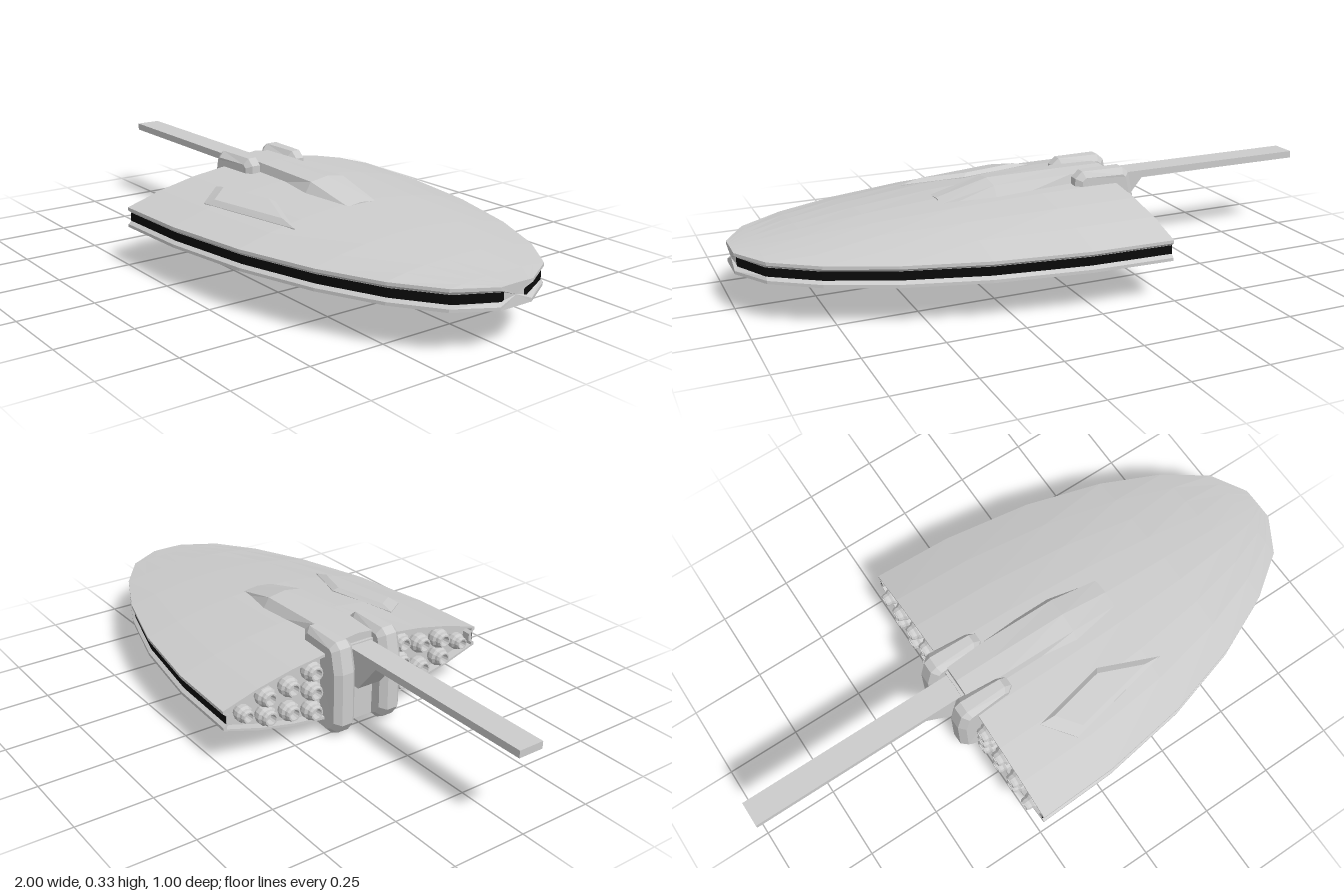
import * as THREE from 'three';

const grey = new THREE.MeshStandardMaterial({ color: 0xcccccc, flatShading: true });
const black = new THREE.MeshStandardMaterial({ color: 0x0a0a0a, flatShading: true, side: THREE.DoubleSide });

// Hull stations: x, half width, top centre height, bottom centre height
const stations = [
  [-0.24, 0.5, 0.287, 0.043], [0.03, 0.49, 0.283, 0.05], [0.33, 0.445, 0.268, 0.067],
  [0.59, 0.37, 0.247, 0.089], [0.79, 0.28, 0.226, 0.109], [0.93, 0.18, 0.209, 0.124],
  [1.0, 0.06, 0.201, 0.133],
];
const RIM_TOP = 0.2, RIM_BOTTOM = 0.133;

// Skins rings of [x, y, z]; each ring runs top, +z, bottom, -z as x grows
function loft(rings, closed = true, caps = true) {
  const pos = [];
  const n = rings[0].length;
  const tri = (...p) => p.forEach((v) => pos.push(...v));
  for (let r = 0; r < rings.length - 1; r++) {
    const a = rings[r], b = rings[r + 1];
    for (let i = 0; i < (closed ? n : n - 1); i++) {
      const j = (i + 1) % n;
      tri(a[i], a[j], b[i]);
      tri(a[j], b[j], b[i]);
    }
  }
  const cap = (ring, flip) => {
    const c = [0, 1, 2].map((k) => ring.reduce((s, p) => s + p[k], 0) / n);
    ring.forEach((p, i) => {
      const q = ring[(i + 1) % n];
      flip ? tri(c, q, p) : tri(c, p, q);
    });
  };
  if (caps) {
    cap(rings[0], true);
    cap(rings[rings.length - 1], false);
  }
  const g = new THREE.BufferGeometry();
  g.setAttribute('position', new THREE.Float32BufferAttribute(pos, 3));
  g.computeVertexNormals();
  return g;
}

function add(parent, name, geometry, material = grey) {
  const m = new THREE.Mesh(geometry, material);
  m.name = name;
  parent.add(m);
  return m;
}

// One hull cross-section: curved top, grooved rim, curved bottom
function hullRing([x, w, top, bottom], nose) {
  const half = [];
  const ts = [0, 0.25, 0.5, 0.75, 1];
  ts.forEach((t) => half.push([x, RIM_TOP + (top - RIM_TOP) * (1 - t * t), w * t]));
  [[0.19, 0], [0.181, 0.012], [0.153, 0.012], [0.143, 0]].forEach(([y, inset]) =>
    half.push([x - (nose ? inset : 0), y, w - inset]));
  ts.slice().reverse().forEach((t) => half.push([x, RIM_BOTTOM + (bottom - RIM_BOTTOM) * (1 - t * t), w * t]));
  const mirror = half.slice(1, -1).reverse().map(([a, b, c]) => [a, b, -c]);
  return half.concat(mirror);
}

// Height of the hull's upper skin
function hullTop(x, z) {
  let i = 0;
  while (i < stations.length - 2 && x > stations[i + 1][0]) i++;
  const a = stations[i], b = stations[i + 1];
  const f = (x - a[0]) / (b[0] - a[0]);
  const w = a[1] + (b[1] - a[1]) * f, t = a[2] + (b[2] - a[2]) * f;
  return RIM_TOP + (t - RIM_TOP) * (1 - (z / w) ** 2);
}

function shapeFrom(points) {
  return new THREE.Shape(points.map(([x, y]) => new THREE.Vector2(x, y)));
}

export function createModel() {
  const ship = new THREE.Group();
  ship.name = 'ship';

  // Hull with a recessed stern
  const rings = stations.map((s, i) => hullRing(s, i === stations.length - 1));
  const inner = (x) => rings[0].map(([, y, z]) => [x, 0.165 + (y - 0.165) * 0.92, z * 0.975]);
  add(ship, 'hull', loft([inner(-0.21), inner(-0.24), ...rings]));

  // Dark strip in the rim groove, running round the nose
  const side = stations.map(([x, w], i) => [i === stations.length - 1 ? x - 0.01 : x, w - 0.01]);
  const path = [...side, ...side.slice().reverse().map(([x, z]) => [x, -z])];
  add(ship, 'rimStrip', loft(path.map(([x, z]) => [[x, 0.181, z], [x, 0.153, z]]), false, false), black);

  // Spine on the upper deck, sloping down to the front
  const spineRing = (x, base, edge, yBase, yEdge, yTop) => [
    [x, yTop, 0], [x, yEdge, edge], [x, yBase, base], [x, yBase, -base], [x, yEdge, -edge],
  ];
  add(ship, 'spine', loft([
    spineRing(-0.24, 0.075, 0.062, 0.25, 0.311, 0.318),
    spineRing(-0.1, 0.08, 0.065, 0.25, 0.311, 0.318),
    spineRing(0.17, 0.1, 0.065, 0.25, 0.306, 0.316),
    spineRing(0.345, 0.06, 0.055, 0.25, 0.264, 0.27),
  ]));

  // Raised panel on one side of the deck: bevelled rhombus, rings stacked upwards
  const corners = [[-0.09, 0.255], [-0.01, 0.352], [0.37, 0.275], [0.17, 0.2]];
  const panelRing = (scale, lift) => corners.map(([x, z]) => {
    const px = 0.12 + (x - 0.12) * scale, pz = 0.272 + (z - 0.272) * scale;
    return [px, hullTop(px, pz) + lift, pz];
  });
  add(ship, 'deckPanel', loft([panelRing(1, -0.01), panelRing(1, 0.002), panelRing(0.75, 0.014)]));

  // Tail boom with its gusset
  const boom = new THREE.ExtrudeGeometry(shapeFrom([
    [-1, 0.262], [-0.385, 0.262], [-0.3, 0.16], [-0.2, 0.16], [-0.2, 0.286], [-1, 0.286],
  ]), { depth: 0.086, bevelEnabled: false });
  boom.translate(0, 0, -0.043);
  add(ship, 'tailBoom', boom);

  // Block between the clamps
  add(ship, 'clampCore', new THREE.BoxGeometry(0.13, 0.27, 0.11).translate(-0.185, 0.155, 0));

  // Pair of chamfered clamps gripping the stern, narrowing towards the front
  const clampShape = shapeFrom([
    [-0.1, 0.02], [-0.1, 0.306], [-0.125, 0.328], [-0.27, 0.328], [-0.292, 0.31],
    [-0.31, 0.23], [-0.31, 0.05], [-0.285, 0.015], [-0.255, 0], [-0.125, 0],
  ]);
  for (const s of [1, -1]) {
    const g = new THREE.ExtrudeGeometry(clampShape, {
      depth: 0.04, bevelThickness: 0.02, bevelSize: 0.02, bevelOffset: -0.02, bevelSegments: 1,
    });
    g.translate(0, 0, -0.02);
    const p = g.attributes.position;
    for (let i = 0; i < p.count; i++) if (p.getX(i) > -0.16) p.setZ(i, p.getZ(i) * 0.75);
    g.translate(0, 0, s * 0.09);
    g.computeVertexNormals();
    add(ship, s > 0 ? 'leftClamp' : 'rightClamp', g);
  }

  // Engine nozzles packed into the stern on both sides
  const nozzle = new THREE.LatheGeometry([
    [0.027, 0], [0.033, 0.015], [0.033, 0.032], [0.026, 0.04], [0.026, 0.05],
    [0.022, 0.058], [0.017, 0.058], [0.013, 0.035], [0, 0.035],
  ].map(([r, y]) => new THREE.Vector2(r, y)), 12);
  nozzle.rotateZ(Math.PI / 2);
  const engines = new THREE.Group();
  engines.name = 'engines';
  ship.add(engines);
  const columns = [[0.425, [0]], [0.345, [-0.033, 0.033]], [0.26, [-0.045, 0.04]], [0.175, [-0.07, 0, 0.068]]];
  for (const s of [1, -1]) {
    for (const [z, offsets] of columns) {
      for (const dy of offsets) {
        const small = offsets.length === 1 ? 0.85 : 1;
        const m = add(engines, 'engineNozzle', nozzle);
        m.scale.set(1, small, small);
        m.position.set(-0.208, 0.166 + dy, s * z);
      }
    }
  }
  return ship;
}
